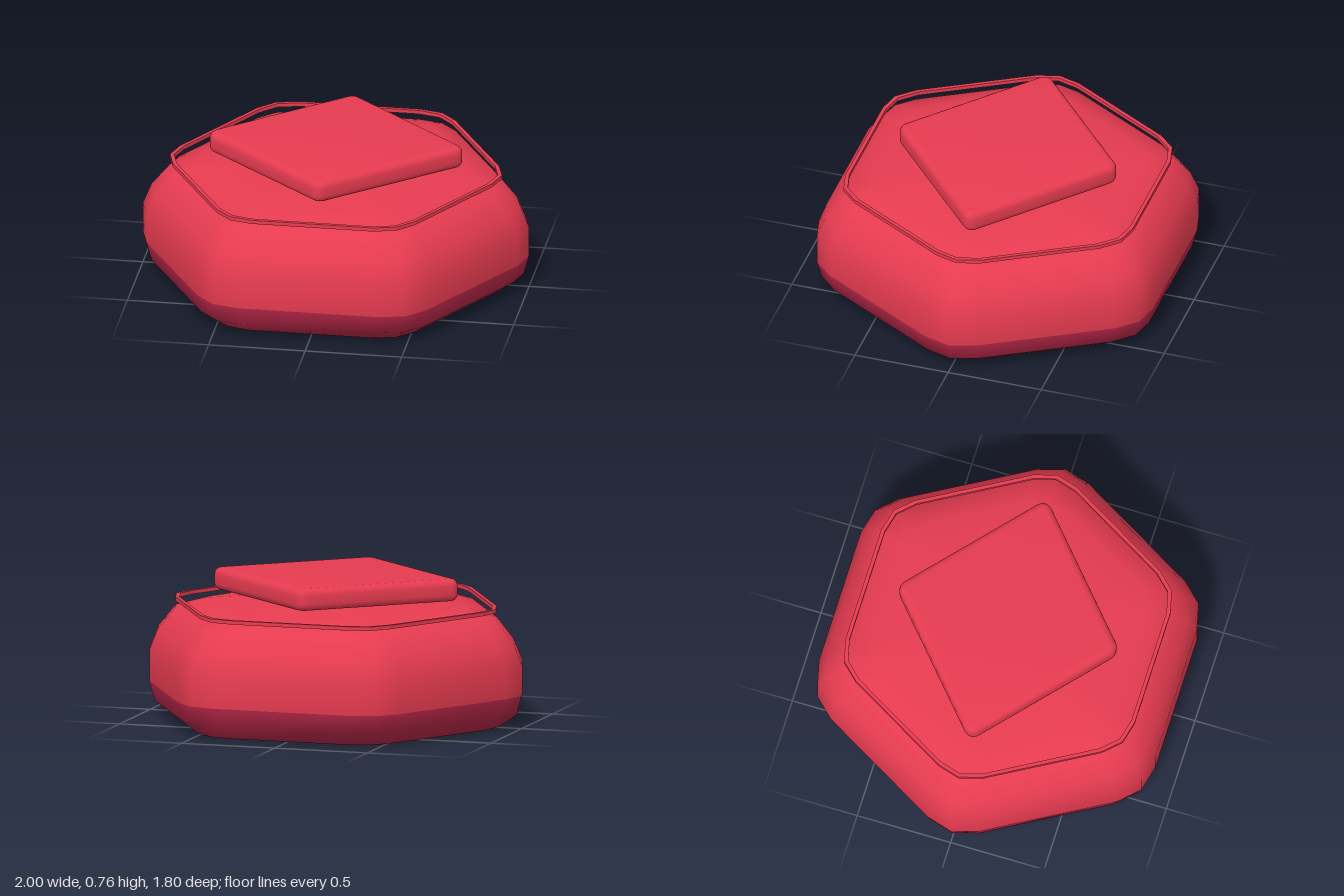
import * as THREE from 'three';
import { toCreasedNormals } from 'three/addons/utils/BufferGeometryUtils.js';

// Hexagon outline with three points per softened corner, as [x, z] pairs
function hexOutline(scale) {
  const pts = [];
  for (let i = 0; i < 6; i++) {
    for (const [offset, r] of [[-8, 0.97], [0, 1], [8, 0.97]]) {
      const a = THREE.MathUtils.degToRad(i * 60 + offset);
      pts.push(new THREE.Vector2(Math.cos(a) * r * scale, Math.sin(a) * r * scale));
    }
  }
  return pts;
}

// Loft of scaled hexagon rings; profile rows are [scale, y]
function loftBody(profile, splitRow) {
  const outline = hexOutline(1), n = outline.length;
  const pos = [], idx = [];
  for (const [s, y] of profile) for (const p of outline) pos.push(p.x * s, y, p.y * s);
  const bottom = pos.length / 3, top = bottom + 1, last = profile.length - 1;
  pos.push(0, profile[0][1], 0, 0, profile[last][1], 0);
  for (let i = 0; i < n; i++) idx.push(bottom, i, (i + 1) % n);
  let splitIndex = 0;
  for (let r = 0; r < last; r++) {
    if (r === splitRow) splitIndex = idx.length;
    for (let i = 0; i < n; i++) {
      const j = (i + 1) % n;
      const a = r * n + i, b = r * n + j, c = a + n, d = b + n;
      idx.push(a, c, b, b, c, d);
    }
  }
  for (let i = 0; i < n; i++) idx.push(top, last * n + (i + 1) % n, last * n + i);
  const g = new THREE.BufferGeometry();
  g.setAttribute('position', new THREE.Float32BufferAttribute(pos, 3));
  g.setIndex(idx);
  g.addGroup(0, splitIndex, 1);
  g.addGroup(splitIndex, idx.length - splitIndex, 0);
  g.computeVertexNormals();
  return g;
}

// Diamond with rounded corners
function diamondShape(rx, ry, t) {
  const c = [[rx, 0], [0, ry], [-rx, 0], [0, -ry]].map(p => new THREE.Vector2(...p));
  const s = new THREE.Shape();
  c.forEach((p, i) => {
    const a = p.clone().lerp(c[(i + 3) % 4], t), b = p.clone().lerp(c[(i + 1) % 4], t);
    if (i === 0) s.moveTo(a.x, a.y); else s.lineTo(a.x, a.y);
    s.quadraticCurveTo(p.x, p.y, b.x, b.y);
  });
  s.closePath();
  return s;
}

export function createModel() {
  const red = new THREE.MeshStandardMaterial({ color: 0xe63b50 });
  red.name = 'red';
  const crimson = new THREE.MeshStandardMaterial({ color: 0xb02545 });
  crimson.name = 'crimson';

  const model = new THREE.Group();
  model.name = 'hexagonalCushion';
  const add = (name, geometry, material) => {
    const mesh = new THREE.Mesh(geometry, material);
    mesh.name = name;
    model.add(mesh);
    return mesh;
  };

  // Rounded body with a darker base band
  add('body', loftBody([
    [0.8, 0], [0.87, 0], [0.972, 0.07], [1, 0.17], [1, 0.33], [0.955, 0.44],
    [0.862, 0.552], [0.72, 0.592], [0.56, 0.608], [0.27, 0.637],
  ], 3), [red, crimson]);

  // Thin rim hovering around the shoulder
  const rimShape = new THREE.Shape(hexOutline(0.86));
  rimShape.holes.push(new THREE.Path(hexOutline(0.838)));
  const rim = new THREE.ExtrudeGeometry(rimShape, { depth: 0.02, bevelEnabled: false });
  rim.rotateX(-Math.PI / 2).translate(0, 0.59, 0);
  add('rim', rim, red);

  // Soft-edged diamond plate on top
  const bevel = 0.035;
  const plate = new THREE.ExtrudeGeometry(diamondShape(0.625, 0.55, 0.025), {
    depth: 0.115 - 2 * bevel, bevelEnabled: true, bevelThickness: bevel,
    bevelSize: bevel, bevelSegments: 4, curveSegments: 5,
  });
  plate.rotateX(-Math.PI / 2).translate(0, 0.642 + bevel, 0);
  add('diamondPlate', toCreasedNormals(plate, 0.7), red);

  return model;
}
